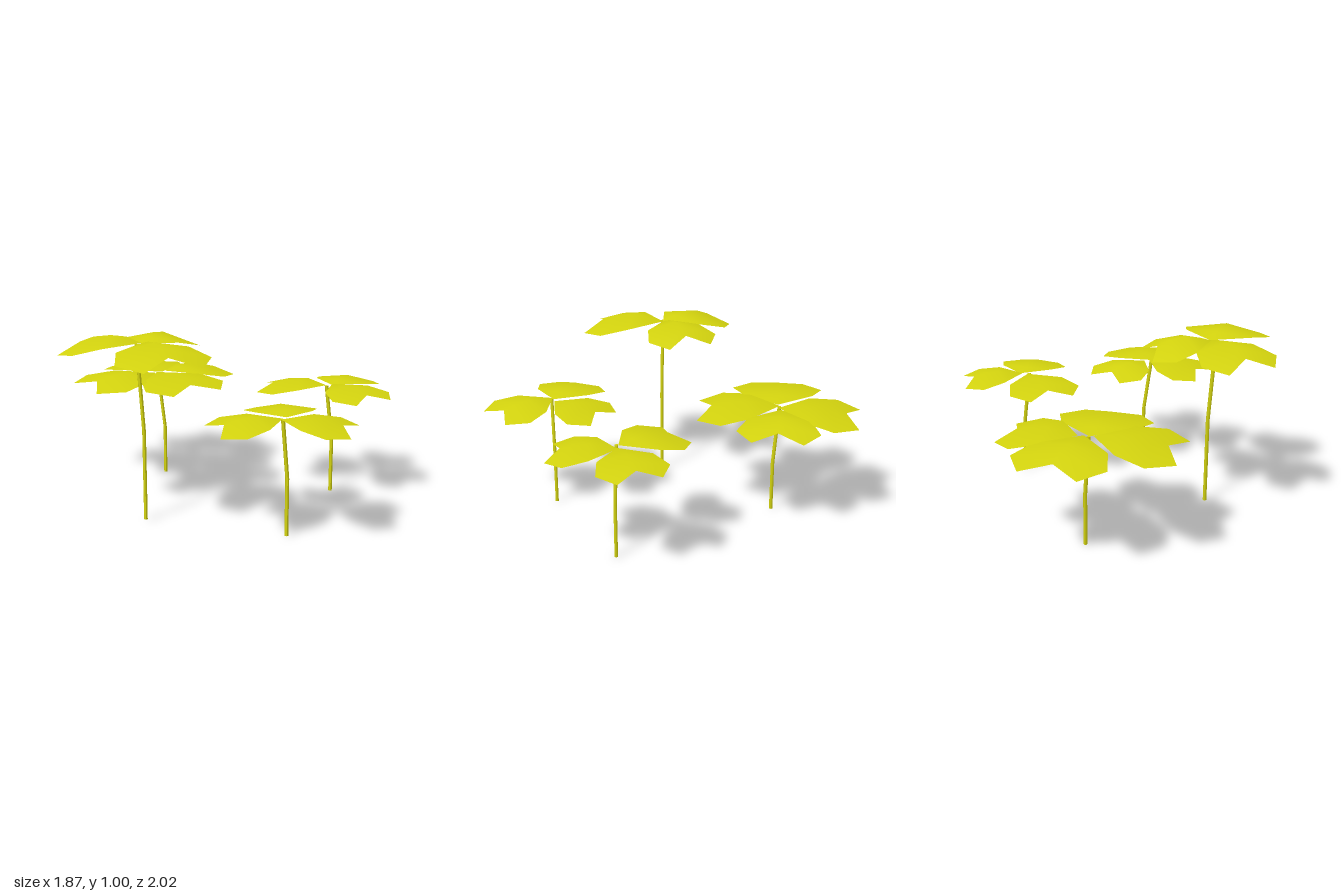
import * as THREE from 'three';

const leafGreen = new THREE.MeshStandardMaterial({ color: 0xd2d20e, side: THREE.DoubleSide });
leafGreen.name = 'leafYellowGreen';

// Leaf template, base to tip: [along, half width, height]; scaled by length and droop.
const rib = [[0, 0, 0], [0.25, 0, 0.022], [0.5, 0, 0.032], [0.78, 0, 0.02], [1, 0, -0.008]];
const edge = [[0.43, 0.52, -0.005], [0.85, 0.68, -0.035], [1.2, 0.41, -0.055]];

// Two-lobed leaf from its base to the notch between its lobes.
function leaf(base, notch, baseY, droop) {
  const dx = notch[0] - base[0], dz = notch[1] - base[1];
  const place = (side) => ([a, w, h]) =>
    [base[0] + dx * a - dz * w * side, baseY + h * droop, base[1] + dz * a + dx * w * side];
  const points = [...rib.map(place(0)), ...edge.map(place(1)), ...edge.map(place(-1))];
  const index = [];
  for (const [s, flip] of [[5, false], [8, true]]) {
    const half = [[0, 1, s], [1, 2, s], [2, s + 1, s], [2, 3, s + 1], [3, s + 2, s + 1], [3, 4, s + 2]];
    for (const [a, b, c] of half) index.push(...(flip ? [a, b, c] : [a, c, b]));
  }
  const g = new THREE.BufferGeometry();
  g.setAttribute('position', new THREE.Float32BufferAttribute(points.flat(), 3));
  g.setIndex(index);
  g.computeVertexNormals();
  // Keep the front faces looking up.
  if (g.attributes.normal.getY(2) < 0) {
    g.setIndex(index.map((_, i) => index[i - (i % 3) + 2 - (i % 3)]));
    g.computeVertexNormals();
  }
  const mesh = new THREE.Mesh(g, leafGreen);
  mesh.name = 'leaf';
  return mesh;
}

// Thin stem that bends once, made by moving the rings of a cylinder.
function stem(path) {
  const g = new THREE.CylinderGeometry(0.0105, 0.0105, 2, 6, 2);
  const p = g.attributes.position;
  for (let i = 0; i < p.count; i++) {
    const [x, y, z] = path[Math.round(p.getY(i) + 1)];
    p.setXYZ(i, p.getX(i) + x, y, p.getZ(i) + z);
  }
  g.computeVertexNormals();
  const mesh = new THREE.Mesh(g, leafGreen);
  mesh.name = 'stem';
  return mesh;
}

// Each leaf is [base x, base z, notch x, notch z].
const plants = [
  {
    name: 'tallPlant', y: 0.967, droop: 1.05,
    path: [[-0.51, 0.01, 0.3], [-0.51, 0.5, 0.3], [-0.54, 0.965, 0.305]],
    leaves: [[-0.51, 0.29, -0.81, 0.13], [-0.53, 0.29, -0.32, 0.06], [-0.51, 0.29, -0.44, 0.655]],
  },
  {
    name: 'backPlant', y: 0.627, droop: 0.7,
    path: [[-0.255, 0, -0.51], [-0.255, 0.29, -0.51], [-0.29, 0.625, -0.525]],
    leaves: [[-0.31, -0.51, -0.675, -0.385], [-0.265, -0.53, -0.35, -0.895],
      [-0.24, -0.55, 0.08, -0.64], [-0.295, -0.525, -0.165, -0.165]],
  },
  {
    name: 'rightPlant', y: 0.63, droop: 0.65,
    path: [[0.615, 0, 0.06], [0.615, 0.31, 0.06], [0.575, 0.63, 0.065]],
    leaves: [[0.577, 0.053, 0.305, -0.1], [0.61, 0.045, 0.81, -0.16], [0.62, 0.035, 0.72, 0.315]],
  },
  {
    name: 'frontPlant', y: 0.63, droop: 0.65,
    path: [[0.16, 0, 0.68], [0.16, 0.31, 0.68], [0.125, 0.63, 0.705]],
    leaves: [[0.155, 0.67, 0.2, 0.385], [0.13, 0.69, -0.18, 0.72], [0.115, 0.705, 0.385, 0.86]],
  },
];

export function createModel() {
  const model = new THREE.Group();
  model.name = 'leafyPlants';
  for (const { name, y, droop, path, leaves } of plants) {
    const plant = new THREE.Group();
    plant.name = name;
    plant.add(stem(path));
    for (const [bx, bz, nx, nz] of leaves) plant.add(leaf([bx, bz], [nx, nz], y, droop));
    model.add(plant);
  }
  return model;
}
